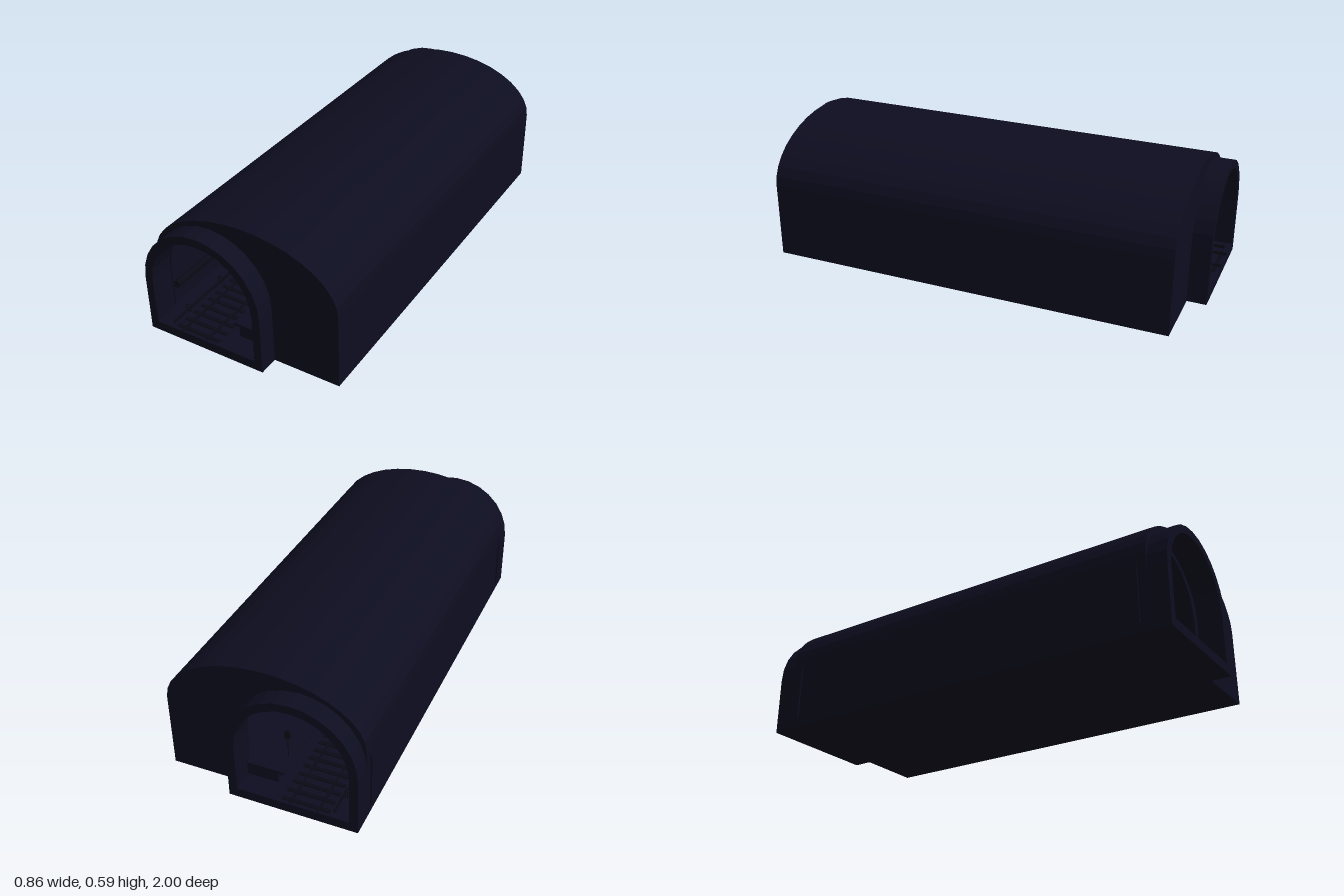
import * as THREE from 'three';

const concrete = new THREE.MeshStandardMaterial({ color: 0x0d0d20, side: THREE.DoubleSide });
concrete.name = 'dark navy concrete';
const metal = new THREE.MeshStandardMaterial({ color: 0x0a0a16 });
metal.name = 'dark metal';

// Points of an arch: straight legs up to the springing line, then a half ellipse
function archPoints(cx, halfWidth, spring, rise, segments, base) {
  const points = [new THREE.Vector2(cx + halfWidth, base)];
  for (let i = 0; i <= segments; i++) {
    const a = (i / segments) * Math.PI;
    points.push(new THREE.Vector2(cx + halfWidth * Math.cos(a), spring + rise * Math.sin(a)));
  }
  points.push(new THREE.Vector2(cx - halfWidth, base));
  return points;
}

export function createModel() {
  const model = new THREE.Group();
  model.name = 'undergroundStation';

  const add = (name, geometry, material, x = 0, y = 0, z = 0) => {
    const mesh = new THREE.Mesh(geometry, material);
    mesh.name = name;
    mesh.position.set(x, y, z);
    model.add(mesh);
    return mesh;
  };
  // Box given by its limits on each axis
  const box = (name, x0, x1, y0, y1, z0, z1, material = metal) =>
    add(name, new THREE.BoxGeometry(x1 - x0, y1 - y0, z1 - z0), material,
      (x0 + x1) / 2, (y0 + y1) / 2, (z0 + z1) / 2);
  // Band between an outer and an inner arch, extruded from z0 to z1
  const vault = (name, outer, inner, z0, z1) => {
    const shape = new THREE.Shape([...outer, ...inner.slice().reverse()]);
    const geometry = new THREE.ExtrudeGeometry(shape, { depth: z1 - z0, bevelEnabled: false });
    return add(name, geometry, concrete, 0, 0, z0);
  };

  const hallEnd = 0.915;
  const tunnelX = -0.147;
  const hallOuter = archPoints(0.0035, 0.4285, 0.34, 0.248, 18, 0);
  const hallInner = archPoints(0.0035, 0.405, 0.34, 0.224, 18, 0);
  const tunnelOuter = archPoints(tunnelX, 0.278, 0.26, 0.278, 14, 0);
  const tunnelInner = archPoints(tunnelX, 0.242, 0.26, 0.242, 14, 0);

  // Hall vault, floor and platform
  vault('hallVault', hallOuter, hallInner, -hallEnd, hallEnd);
  box('hallFloor', -0.425, 0.432, 0, 0.042, -hallEnd, hallEnd, concrete);
  box('platform', -0.042, 0.41, 0.042, 0.088, -hallEnd + 0.01, hallEnd - 0.01, concrete);
  box('platformEdge', -0.068, 0.41, 0.088, 0.101, -hallEnd + 0.01, hallEnd - 0.01, concrete);

  for (const s of [-1, 1]) {
    const span = (a, b) => [Math.min(s * a, s * b), Math.max(s * a, s * b)];
    // End wall around the tunnel, tunnel mouth and portal ring
    vault('endWall', hallOuter, tunnelInner, ...span(hallEnd - 0.025, hallEnd));
    vault('tunnelVault', tunnelOuter, tunnelInner, ...span(hallEnd - 0.02, 1));
    vault('portalRing', archPoints(tunnelX, 0.285, 0.26, 0.272, 14, 0.042),
      archPoints(tunnelX, 0.25, 0.26, 0.25, 14, 0.042), ...span(0.865, 0.875));
    box('tunnelFloor', -0.425, 0.131, 0, 0.042, ...span(hallEnd, 1), concrete);
    // Signal post at the platform end
    add('signalPole', new THREE.CylinderGeometry(0.002, 0.002, 0.1, 8), metal, -0.043, 0.15, s * 0.81);
    box('signalHead', -0.054, -0.032, 0.2, 0.234, ...span(0.804, 0.816));
  }

  // Track: sleepers, running rails and conductor rail
  for (let i = 0; i < 40; i++) {
    const z = -0.975 + i * 0.05;
    box('sleeper', -0.3, -0.093, 0.042, 0.047, z - 0.009, z + 0.009);
  }
  for (const x of [-0.257, -0.138]) {
    box('railFoot', x - 0.004, x + 0.004, 0.047, 0.049, -1, 1);
    box('railWeb', x - 0.001, x + 0.001, 0.049, 0.056, -1, 1);
    box('railHead', x - 0.0025, x + 0.0025, 0.056, 0.059, -1, 1);
  }
  box('conductorRail', -0.321, -0.315, 0.05, 0.064, -0.98, 0.98);
  for (let i = 0; i < 9; i++) {
    const z = -0.88 + i * 0.22;
    box('railBracket', -0.333, -0.33, 0.042, 0.076, z - 0.003, z + 0.003);
    box('railBracketArm', -0.333, -0.318, 0.073, 0.076, z - 0.003, z + 0.003);
    box('railInsulator', -0.323, -0.313, 0.042, 0.05, z - 0.004, z + 0.004);
  }

  // Track-side wall: pipe, cable shelf and cabinets
  const pipe = add('wallPipe', new THREE.CylinderGeometry(0.014, 0.014, 1.78, 16), metal, -0.365, 0.172, 0);
  pipe.rotation.x = Math.PI / 2;
  box('cableShelf', -0.382, -0.355, 0.153, 0.157, -0.89, 0.89);
  for (const z of [-0.6, 0, 0.6]) {
    box('wallCabinet', -0.38, -0.355, 0.25, 0.32, z - 0.03, z + 0.03);
    box('cabinetBracket', -0.402, -0.38, 0.281, 0.288, z - 0.01, z + 0.01);
  }

  // Ceiling lamps and hanging signs
  for (let i = 0; i < 5; i++) {
    const z = -0.7 + i * 0.35;
    box('ceilingLamp', -0.083, -0.062, 0.484, 0.494, z - 0.09, z + 0.09);
    box('lampLens', -0.08, -0.065, 0.478, 0.484, z - 0.085, z + 0.085);
    box('lampHanger', -0.075, -0.07, 0.494, 0.56, z - 0.003, z + 0.003);
    box('pendantRod', 0.035, 0.037, 0.37, 0.56, z - 0.001, z + 0.001);
    box('pendantLamp', 0.025, 0.047, 0.363, 0.371, z - 0.07, z + 0.07);
  }
  for (const z of [-0.5, 0.5]) {
    box('hangingSign', 0.057, 0.2, 0.318, 0.358, z - 0.008, z + 0.008);
    for (const x of [0.08, 0.18]) box('signRod', x - 0.001, x + 0.001, 0.358, 0.55, z - 0.001, z + 0.001);
  }

  // Platform benches
  for (const z of [-0.55, 0, 0.55]) {
    box('benchSeat', 0.34, 0.4, 0.135, 0.143, z - 0.08, z + 0.08);
    box('benchBack', 0.394, 0.4, 0.143, 0.185, z - 0.08, z + 0.08);
    for (const dz of [-0.065, 0.065]) box('benchLeg', 0.345, 0.395, 0.101, 0.135, z + dz - 0.004, z + dz + 0.004);
  }

  return model;
}
